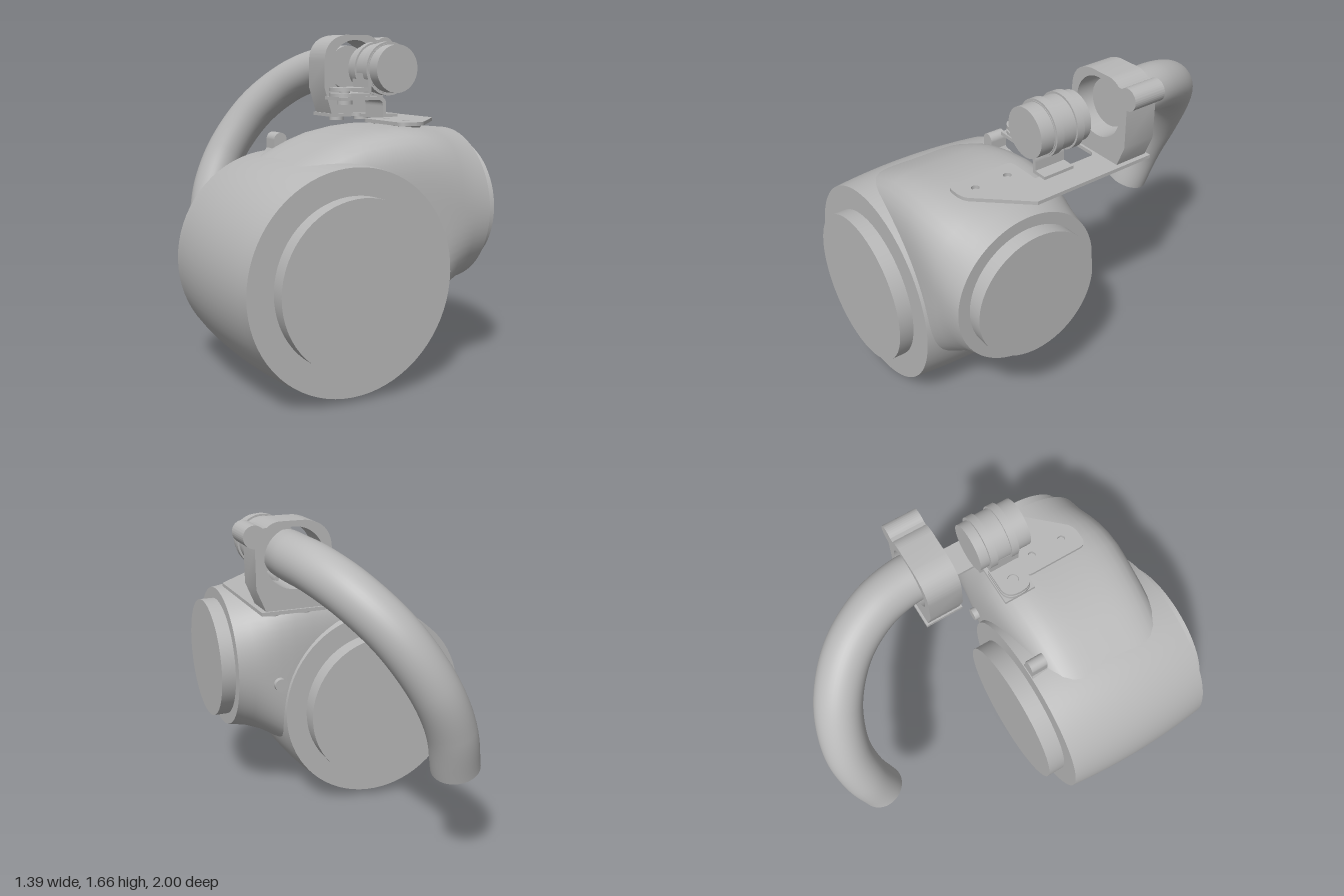
import * as THREE from 'three';
import { toCreasedNormals } from 'three/addons/utils/BufferGeometryUtils.js';

export function createModel() {
  const model = new THREE.Group();
  const metal = new THREE.MeshStandardMaterial({ color: 0xb8b8b8 });
  metal.name = 'grey metal';

  const add = (name, geo, parent = model) => {
    const mesh = new THREE.Mesh(geo, metal);
    mesh.name = name;
    parent.add(mesh);
    return mesh;
  };
  // Cylinders laid along z, x or y between two positions
  const cylZ = (r, x, y, z0, z1) =>
    new THREE.CylinderGeometry(r, r, z1 - z0, 64).rotateX(Math.PI / 2).translate(x, y, (z0 + z1) / 2);
  const cylX = (r, y, z, x0, x1) =>
    new THREE.CylinderGeometry(r, r, x1 - x0, 64).rotateZ(Math.PI / 2).translate((x0 + x1) / 2, y, z);
  const cylY = (r0, r1, x, z, y0, y1) =>
    new THREE.CylinderGeometry(r1, r0, y1 - y0, 32).translate(x, (y0 + y1) / 2, z);
  const hole = (shape, x, y, r) => shape.holes.push(new THREE.Path().absarc(x, y, r, 0, Math.PI * 2, true));
  const extrude = (shape, depth) => new THREE.ExtrudeGeometry(shape, { depth, bevelEnabled: false, curveSegments: 32 });
  // Flat plate: shape drawn in (x, -z), bottom at y0
  const plate = (shape, y0, t) => extrude(shape, t).rotateX(-Math.PI / 2).translate(0, y0, 0);

  // Barrel-shaped drum, slightly bulged in the middle
  const profile = [new THREE.Vector2(0, 0.095)];
  for (let i = 0; i <= 12; i++) {
    const t = i / 6 - 1;
    profile.push(new THREE.Vector2(0.548 - 0.024 * t * t, 0.51 + 0.415 * t));
  }
  profile.push(new THREE.Vector2(0, 0.925));
  const drum = new THREE.LatheGeometry(profile, 72).rotateX(Math.PI / 2).translate(-0.15, 0.552, 0);
  add('drum', toCreasedNormals(drum, 0.6));
  add('frontBoss', cylZ(0.396, -0.15, 0.555, 0.9, 1.0));
  add('backBoss', cylZ(0.41, -0.15, 0.552, 0, 0.12));

  // Outlet housing: squarish sections blending into a round mouth
  // x, top, bottom, half width, squareness
  const stations = [
    [-0.5, 0.95, 0.5, 0.33, 5], [-0.38, 1.04, 0.48, 0.345, 5], [-0.27, 1.095, 0.46, 0.355, 5],
    [-0.15, 1.15, 0.42, 0.365, 5], [-0.05, 1.185, 0.38, 0.372, 5], [0.08, 1.21, 0.34, 0.382, 5],
    [0.2, 1.22, 0.32, 0.39, 5], [0.3, 1.218, 0.325, 0.396, 4.4], [0.38, 1.213, 0.358, 0.398, 3.6],
    [0.45, 1.208, 0.395, 0.397, 2.9], [0.53, 1.203, 0.415, 0.392, 2.3], [0.62, 1.195, 0.425, 0.386, 2],
  ];
  const N = 72, pos = [], idx = [];
  for (const [x, top, bottom, w, n] of stations) {
    for (let j = 0; j < N; j++) {
      const a = (j / N) * Math.PI * 2, c = Math.cos(a), s = Math.sin(a);
      const k = Math.pow(Math.abs(c) ** n + Math.abs(s) ** n, -1 / n);
      pos.push(x, (top + bottom) / 2 + s * k * (top - bottom) / 2, 0.512 + c * k * w);
    }
  }
  for (let i = 0; i < stations.length - 1; i++) {
    for (let j = 0; j < N; j++) {
      const a = i * N + j, b = i * N + (j + 1) % N;
      idx.push(a, a + N, b, b, a + N, b + N);
    }
  }
  const last = (stations.length - 1) * N;
  pos.push(0.62, 0.81, 0.512);
  for (let j = 0; j < N; j++) idx.push(last + N, last + (j + 1) % N, last + j);
  const housing = new THREE.BufferGeometry();
  housing.setAttribute('position', new THREE.Float32BufferAttribute(pos, 3));
  housing.setIndex(idx);
  add('outletHousing', toCreasedNormals(housing, 0.6));
  add('outletBoss', cylX(0.325, 0.81, 0.512, 0.6, 0.695));

  // Small tab on the back rim and drain plug behind the outlet
  const tab = new THREE.Shape();
  tab.moveTo(-0.21, 1.05);
  tab.lineTo(-0.185, 1.09);
  tab.lineTo(-0.185, 1.135);
  tab.absarc(-0.15, 1.135, 0.035, Math.PI, 0, true);
  tab.lineTo(-0.115, 1.09);
  tab.lineTo(-0.09, 1.05);
  add('rimTab', extrude(tab, 0.09).translate(0, 0, 0.1));
  add('drainPlug', cylZ(0.035, 0.4, 0.74, 0.085, 0.2));

  // Mounting plate with two screw holes
  const base = new THREE.Shape();
  base.moveTo(0.6, 0.24);
  base.lineTo(0.27, 0.24);
  base.lineTo(0.27, 0.035);
  base.lineTo(0.4, 0.035);
  base.quadraticCurveTo(0.435, 0.03, 0.435, 0);
  base.lineTo(0.435, -0.33);
  base.lineTo(0.28, -0.33);
  base.quadraticCurveTo(0.245, -0.33, 0.245, -0.37);
  base.lineTo(0.245, -0.65);
  base.quadraticCurveTo(0.245, -0.69, 0.29, -0.69);
  base.lineTo(0.33, -0.69);
  base.quadraticCurveTo(0.37, -0.685, 0.39, -0.665);
  base.lineTo(0.6, -0.44);
  hole(base, 0.335, -0.415, 0.02);
  hole(base, 0.335, -0.595, 0.02);
  add('mountingPlate', plate(base, 1.222, 0.018));
  for (const z of [0.415, 0.595]) add('plateStandoff', cylY(0.045, 0.075, 0.335, z, 1.18, 1.222));
  for (const x of [0.36, 0.52]) {
    add('plateBolt', cylY(0.04, 0.04, x, -0.135, 1.198, 1.224));
  }

  // Pipe clamp with hinge ear
  const clamp = new THREE.Shape();
  clamp.moveTo(0.28, 1.24);
  clamp.lineTo(0.575, 1.24);
  clamp.lineTo(0.62, 1.35);
  clamp.lineTo(0.62, 1.545);
  clamp.absarc(0.62, 1.6, 0.055, -Math.PI / 2, Math.PI * 0.75, false);
  clamp.lineTo(0.56, 1.64);
  clamp.quadraticCurveTo(0.53, 1.666, 0.49, 1.666);
  clamp.lineTo(0.37, 1.666);
  clamp.quadraticCurveTo(0.235, 1.65, 0.235, 1.52);
  clamp.lineTo(0.235, 1.38);
  hole(clamp, 0.425, 1.488, 0.15);
  add('pipeClamp', toCreasedNormals(extrude(clamp, 0.18), 0.5).translate(0, 0, -0.228));

  // Bent pipe with closed ends
  const path = new THREE.CatmullRomCurve3([
    [0.425, 1.488, -0.12], [0.425, 1.488, -0.26], [0.39, 1.468, -0.44], [0.3, 1.385, -0.64],
    [0.16, 1.22, -0.8], [0.01, 0.98, -0.878], [-0.09, 0.76, -0.866], [-0.145, 0.548, -0.818],
  ].map(p => new THREE.Vector3(...p)));
  const pipe = new THREE.Group();
  pipe.name = 'pipe';
  model.add(pipe);
  add('pipeBody', new THREE.TubeGeometry(path, 64, 0.12, 40), pipe);
  for (const [t, dir] of [[0, -1], [1, 1]]) {
    const cap = add('pipeEnd', new THREE.CircleGeometry(0.12, 40), pipe);
    cap.position.copy(path.getPointAt(t));
    cap.quaternion.setFromUnitVectors(new THREE.Vector3(0, 0, 1), path.getTangentAt(t).multiplyScalar(dir));
  }

  // Sensor cylinder held by a two-band strap
  const sensor = new THREE.Group();
  sensor.name = 'sensor';
  model.add(sensor);
  add('sensorBody', cylZ(0.123, 0.422, 1.488, 0.095, 0.378), sensor);
  add('strap', cylZ(0.128, 0.422, 1.488, 0.145, 0.305), sensor);
  for (const z of [0.145, 0.262]) add('strapBand', cylZ(0.138, 0.422, 1.488, z, z + 0.04), sensor);

  // Strap lugs, clamping bolt and bent foot
  const lug = new THREE.Shape();
  lug.moveTo(0.31, -0.3);
  lug.lineTo(0.31, -0.14);
  lug.lineTo(0.2, -0.14);
  lug.quadraticCurveTo(0.13, -0.14, 0.13, -0.22);
  lug.quadraticCurveTo(0.13, -0.3, 0.2, -0.3);
  hole(lug, 0.205, -0.22, 0.028);
  add('upperLug', plate(lug, 1.374, 0.018), sensor);
  add('lowerLug', plate(lug, 1.345, 0.018), sensor);
  add('lugBolt', cylY(0.04, 0.04, 0.205, 0.22, 1.305, 1.33), sensor);
  add('lugBoltShank', cylY(0.027, 0.027, 0.205, 0.22, 1.32, 1.385), sensor);
  const foot = new THREE.Shape();
  foot.moveTo(0.135, 1.328);
  foot.lineTo(0.355, 1.328);
  foot.quadraticCurveTo(0.385, 1.328, 0.385, 1.295);
  foot.lineTo(0.385, 1.24);
  foot.lineTo(0.405, 1.24);
  foot.lineTo(0.405, 1.3);
  foot.quadraticCurveTo(0.405, 1.346, 0.36, 1.346);
  foot.lineTo(0.135, 1.346);
  add('bentFoot', extrude(foot, 0.17).translate(0, 0, 0.135), sensor);
  add('footTab', new THREE.BoxGeometry(0.09, 0.018, 0.17).translate(0.43, 1.247, 0.22), sensor);
  const web = new THREE.BoxGeometry(0.02, 0.1, 0.16);
  add('strapWeb', web.translate(0.305, 1.415, 0.225), sensor);

  return model;
}
